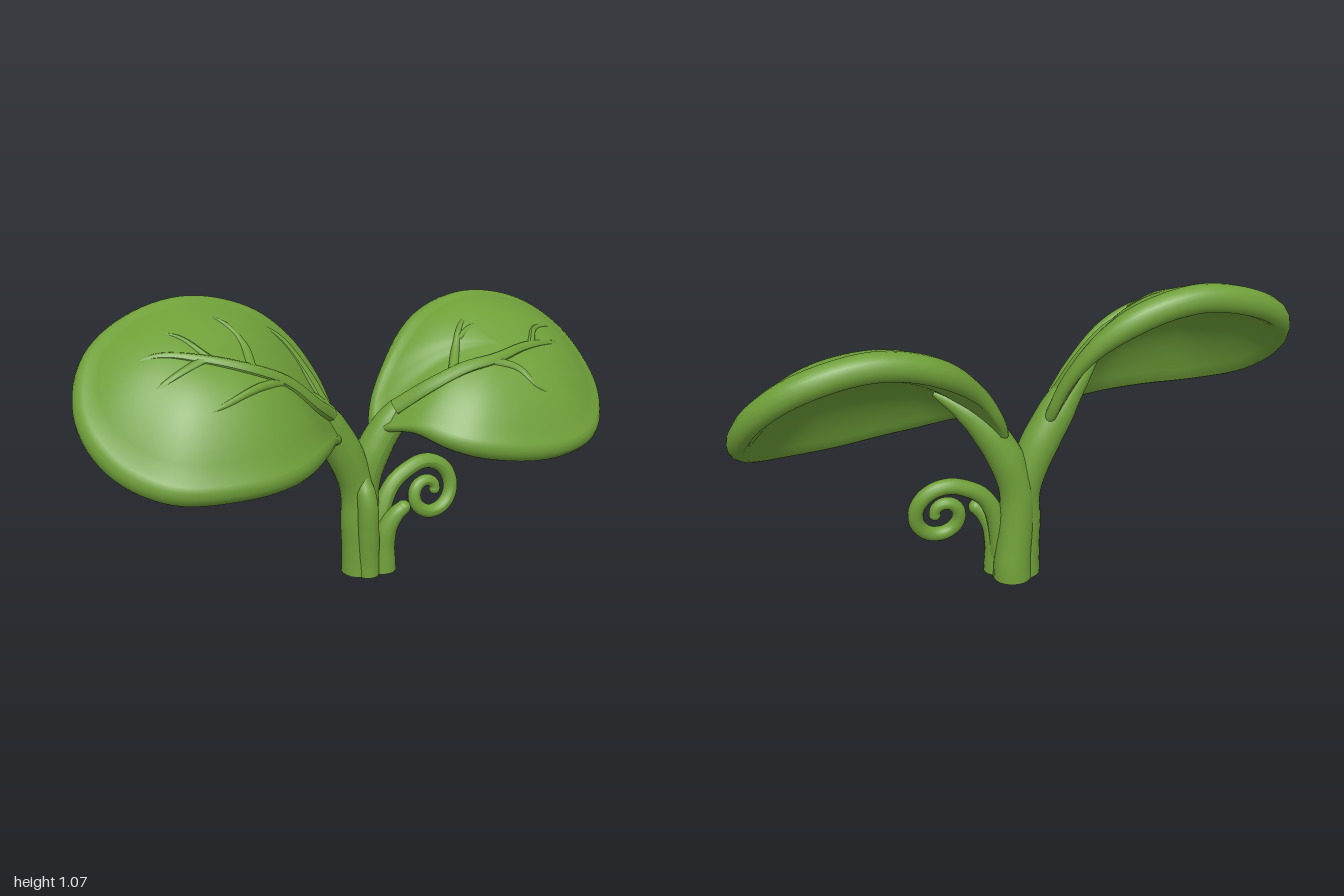
import * as THREE from 'three';

const V = (p) => new THREE.Vector3(...p);
const leafGreen = new THREE.MeshStandardMaterial({ color: 0x6f9f39 });
leafGreen.name = 'leaf green';

function part(name, geometry) {
  const mesh = new THREE.Mesh(geometry, leafGreen);
  mesh.name = name;
  return mesh;
}

// Tube along a path whose radius follows an evenly spaced list
function taperTube(points, radii, segments = 40, sides = 14) {
  const curve = new THREE.CatmullRomCurve3(points.map((p) => (p.isVector3 ? p : V(p))));
  const geo = new THREE.TubeGeometry(curve, segments, 1, sides, false);
  const pos = geo.attributes.position, v = new THREE.Vector3();
  for (let i = 0; i <= segments; i++) {
    const c = curve.getPointAt(i / segments);
    const f = (i / segments) * (radii.length - 1), k = Math.min(Math.floor(f), radii.length - 2);
    const r = THREE.MathUtils.lerp(radii[k], radii[k + 1], f - k);
    for (let j = 0; j <= sides; j++) {
      const n = i * (sides + 1) + j;
      v.fromBufferAttribute(pos, n).sub(c).multiplyScalar(r).add(c);
      pos.setXYZ(n, v.x, v.y, v.z);
    }
  }
  geo.computeVertexNormals();
  return geo;
}

// Domed, cupped leaf with a thick rounded rim, and veins laid on its upper face
function makeLeaf(name, rimPoints, centre, slope, dome, skew, veins) {
  const group = new THREE.Group();
  group.name = name;
  const rim = new THREE.CatmullRomCurve3(rimPoints.map(V), true);
  const C = V(centre), up = new THREE.Vector3(0, 0.8, 0.6), N = 96;
  const edge = Array.from({ length: N }, (_, i) => rim.getPoint(i / N));

  // Middle layer: a tilted plane, bent smoothly to reach the rim, plus a dome fuller at the front
  const mid = (e, r) => {
    const p = C.clone().lerp(e, r);
    const tilt = slope[0] * (e.x - C.x) + slope[1] * (e.z - C.z);
    p.y = C.y + tilt * r + (e.y - C.y - tilt) * r * r + dome * (1 - r ** 3) * (1 + skew * p.z);
    return p;
  };
  // Half thickness: thin at the neck, full at the rim
  const half = (e, r) => (0.038 + 0.012 * r * r)
    * (1 - 0.4 * r * (1 - THREE.MathUtils.smoothstep(Math.abs(e.x), 0.1, 0.35)));

  // Profile: upper face outward, around the rim, under face back inward
  const steps = 16, rows = [];
  const face = (r, side) => (e) => mid(e, r).addScaledVector(up, side * half(e, r));
  for (let j = 0; j <= steps; j++) rows.push(face(j / steps, 1));
  for (let k = 1; k < 8; k++) {
    const a = Math.PI / 2 - (k / 8) * Math.PI;
    rows.push((e) => e.clone()
      .addScaledVector(e.clone().sub(C).normalize(), half(e, 1) * Math.cos(a))
      .addScaledVector(up, half(e, 1) * Math.sin(a)));
  }
  for (let j = steps; j >= 0; j--) rows.push(face(j / steps, -1));

  const pos = [], index = [];
  rows.forEach((row, j) => edge.forEach((e, i) => {
    pos.push(...row(e).toArray());
    if (j === rows.length - 1) return;
    const a = j * N + i, b = j * N + (i + 1) % N;
    index.push(a, b, a + N, b, b + N, a + N);
  }));
  const geo = new THREE.BufferGeometry();
  geo.setAttribute('position', new THREE.Float32BufferAttribute(pos, 3));
  geo.setIndex(index);
  geo.computeVertexNormals();
  group.add(part('leafBlade', geo));

  // Finds the point of the upper face at a plan position
  const onLeaf = ([x, z]) => {
    const dx = x - C.x, dz = z - C.z, len = Math.hypot(dx, dz);
    let best = edge[0], bestDot = -2;
    for (const e of edge) {
      const ex = e.x - C.x, ez = e.z - C.z;
      const dot = (ex * dx + ez * dz) / (Math.hypot(ex, ez) * len);
      if (dot > bestDot) { bestDot = dot; best = e; }
    }
    const r = Math.min(len / Math.hypot(best.x - C.x, best.z - C.z), 1);
    return mid(best, r).addScaledVector(up, half(best, r) - 0.006);
  };
  for (const [size, ...path] of veins) {
    group.add(part('vein', taperTube(path.map(onLeaf), [size, size * 0.8, size * 0.55, 0.002], 36, 10)));
  }
  return group;
}

export function createModel() {
  const model = new THREE.Group();
  model.name = 'sprout';

  // Leaves
  model.add(makeLeaf('rightLeaf', [
    [-0.95, 0.77, -0.04], [-0.89, 0.90, -0.17], [-0.74, 0.985, -0.24], [-0.55, 1.018, -0.255],
    [-0.36, 0.97, -0.24], [-0.22, 0.87, -0.20], [-0.135, 0.74, -0.15], [-0.095, 0.61, -0.10],
    [-0.105, 0.56, -0.03], [-0.165, 0.585, 0.04], [-0.25, 0.605, 0.135], [-0.40, 0.59, 0.23],
    [-0.58, 0.588, 0.255], [-0.77, 0.60, 0.22], [-0.90, 0.66, 0.10],
  ], [-0.54, 0.80, 0], [-0.13, -0.83], 0.125, 2.2, [
    [0.034, [-0.13, -0.05], [-0.22, 0.02], [-0.34, 0.06], [-0.46, 0.07], [-0.6, 0.03], [-0.74, -0.03], [-0.88, -0.07]],
    [0.02, [-0.46, 0.07], [-0.44, -0.03], [-0.47, -0.12], [-0.55, -0.20]],
    [0.02, [-0.34, 0.06], [-0.46, 0.12], [-0.58, 0.16], [-0.70, 0.17]],
    [0.018, [-0.60, 0.03], [-0.71, 0.05], [-0.82, 0.06]],
    [0.026, [-0.14, -0.06], [-0.19, -0.11], [-0.26, -0.16], [-0.36, -0.20]],
    [0.015, [-0.58, 0.03], [-0.65, -0.08], [-0.73, -0.14]],
  ]));
  model.add(makeLeaf('leftLeaf', [
    [0.95, 0.63, -0.05], [0.91, 0.55, 0.07], [0.79, 0.50, 0.19], [0.61, 0.493, 0.235],
    [0.40, 0.525, 0.225], [0.26, 0.56, 0.17], [0.175, 0.59, 0.08], [0.12, 0.57, -0.01],
    [0.09, 0.55, -0.08], [0.115, 0.625, -0.13], [0.20, 0.745, -0.17], [0.36, 0.86, -0.235],
    [0.55, 0.903, -0.26], [0.77, 0.855, -0.245], [0.90, 0.755, -0.17],
  ], [0.53, 0.695, 0], [0.03, -0.8], 0.1, 1.2, [
    [0.034, [0.14, -0.05], [0.24, 0.01], [0.36, 0.04], [0.48, 0.05], [0.62, 0.02], [0.76, -0.02], [0.89, -0.07]],
    [0.02, [0.32, 0.035], [0.37, -0.04], [0.42, -0.10], [0.50, -0.17]],
    [0.02, [0.46, 0.05], [0.55, 0.09], [0.60, 0.14], [0.68, 0.17]],
    [0.016, [0.66, 0.01], [0.72, -0.06], [0.80, -0.10], [0.86, -0.13]],
    [0.013, [0.40, -0.07], [0.46, -0.09], [0.54, -0.09]],
  ]));

  // Two stalks, the tendril stalk and a front ridge, fused into one stem with flat feet
  const stalks = [
    ['rightStalk', [[0.008, 0, -0.07], [0.008, 0.05, -0.07], [0, 0.2, -0.07], [0, 0.33, -0.072],
      [-0.04, 0.45, -0.07], [-0.105, 0.57, -0.065], [-0.185, 0.68, -0.045], [-0.3, 0.785, -0.01]],
    [0.069, 0.064, 0.062, 0.064, 0.068, 0.064, 0.045, 0.01]],
    ['leftStalk', [[0.05, 0, -0.1], [0.05, 0.05, -0.1], [0.035, 0.2, -0.093], [0.03, 0.33, -0.088],
      [0.06, 0.44, -0.082], [0.12, 0.55, -0.07], [0.2, 0.64, -0.05], [0.3, 0.70, -0.01]],
    [0.069, 0.064, 0.062, 0.062, 0.064, 0.058, 0.042, 0.01]],
    ['tendrilStalk', [[0.087, 0, -0.035], [0.087, 0.04, -0.035], [0.088, 0.1, -0.035], [0.1, 0.17, -0.025],
      [0.13, 0.225, -0.012], [0.155, 0.248, -0.005]], [0.05, 0.046, 0.042, 0.034, 0.027]],
    ['frontRidge', [[0.02, 0, -0.025], [0.02, 0.05, -0.025], [0.015, 0.18, -0.014], [0.01, 0.29, -0.01],
      [0.005, 0.36, -0.03], [-0.005, 0.44, -0.06]], [0.042, 0.041, 0.04, 0.036, 0.015]],
  ];
  for (const [name, path, radii] of stalks) {
    model.add(part(name, taperTube(path, radii, 48, 20)));
    const foot = part('stemFoot', new THREE.CircleGeometry(radii[0], 24));
    foot.rotation.x = Math.PI / 2;
    foot.position.set(...path[0]);
    model.add(foot);
  }
  const bud = part('stubTip', new THREE.SphereGeometry(0.027, 16, 12));
  bud.position.set(0.155, 0.248, -0.005);
  model.add(bud);

  // Curled tendril: rising arc followed by an inward spiral
  const curl = [[0.08, 0.08, -0.06], [0.088, 0.17, -0.065], [0.11, 0.255, -0.07], [0.155, 0.325, -0.075]];
  for (let i = 0; i <= 22; i++) {
    const t = i / 22, a = 2.05 - t * 8.2, r = 0.121 - 0.094 * t ** 0.95;
    curl.push([0.293 + r * Math.cos(a), 0.264 + r * Math.sin(a), -0.06 - 0.022 * Math.sin(a) * (1 - t)]);
  }
  model.add(part('tendril', taperTube(curl, [0.04, 0.036, 0.031, 0.029, 0.028, 0.027, 0.026, 0.024, 0.02], 120, 14)));
  const tip = part('tendrilTip', new THREE.SphereGeometry(0.021, 14, 10));
  tip.position.set(...curl[curl.length - 1]);
  model.add(tip);

  return model;
}
